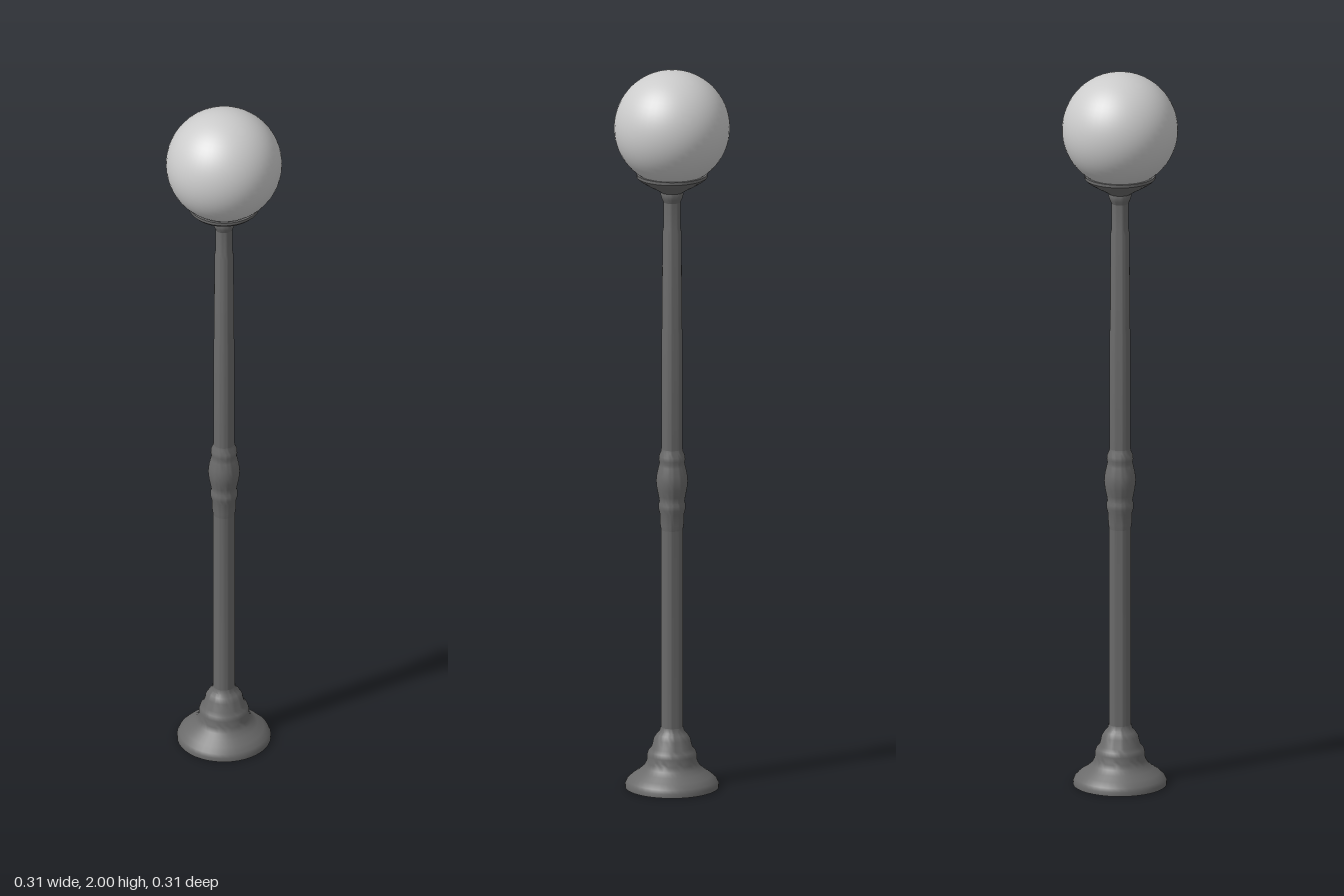
import * as THREE from 'three';
import { toCreasedNormals } from 'three/addons/utils/BufferGeometryUtils.js';

export function createModel() {
  const group = new THREE.Group();
  const metal = new THREE.MeshStandardMaterial({ color: 0x6a6a6a, side: THREE.DoubleSide });
  const glass = new THREE.MeshStandardMaterial({ color: 0xcccccc });

  // Turned part from [radius, height] pairs, listed from the bottom up
  function turned(name, profile) {
    const points = profile.map(([r, y]) => new THREE.Vector2(r, y));
    const geometry = toCreasedNormals(new THREE.LatheGeometry(points, 40), 0.6);
    const mesh = new THREE.Mesh(geometry, metal);
    mesh.name = name;
    group.add(mesh);
  }

  // Flared foot with a hollow underside and a stepped bell above
  turned('base', [
    [0.03, 0.1], [0.048, 0.004], [0.048, 0], [0.127, 0], [0.127, 0.011], [0.122, 0.021],
    [0.108, 0.034], [0.09, 0.046], [0.077, 0.058], [0.07, 0.07], [0.068, 0.078],
    [0.068, 0.09], [0.064, 0.102], [0.056, 0.111], [0.053, 0.12], [0.05, 0.135],
    [0.042, 0.148], [0.034, 0.156], [0.031, 0.168],
  ]);

  turned('lowerPole', [[0.03, 0.14], [0.03, 0.74]]);

  // Bulging collar between the two lengths of pole
  turned('collar', [
    [0.03, 0.72], [0.032, 0.735], [0.033, 0.765], [0.037, 0.778], [0.037, 0.79],
    [0.034, 0.798], [0.037, 0.815], [0.041, 0.835], [0.043, 0.855], [0.041, 0.875],
    [0.036, 0.897], [0.034, 0.906], [0.036, 0.915], [0.035, 0.926], [0.03, 0.938], [0.028, 0.952],
  ]);

  // Upper pole narrows in steps
  turned('upperPole', [
    [0.029, 0.93], [0.029, 1.27], [0.027, 1.285], [0.026, 1.55], [0.023, 1.565], [0.023, 1.66],
  ]);

  // Dish that carries the globe
  turned('globeHolder', [
    [0.023, 1.635], [0.028, 1.646], [0.031, 1.656], [0.03, 1.663], [0.042, 1.671],
    [0.066, 1.684], [0.088, 1.698], [0.096, 1.706], [0.096, 1.714], [0.075, 1.714],
  ]);

  const globe = new THREE.Mesh(new THREE.SphereGeometry(0.157, 48, 32), glass);
  globe.name = 'globe';
  globe.position.y = 1.843;
  group.add(globe);

  return group;
}
